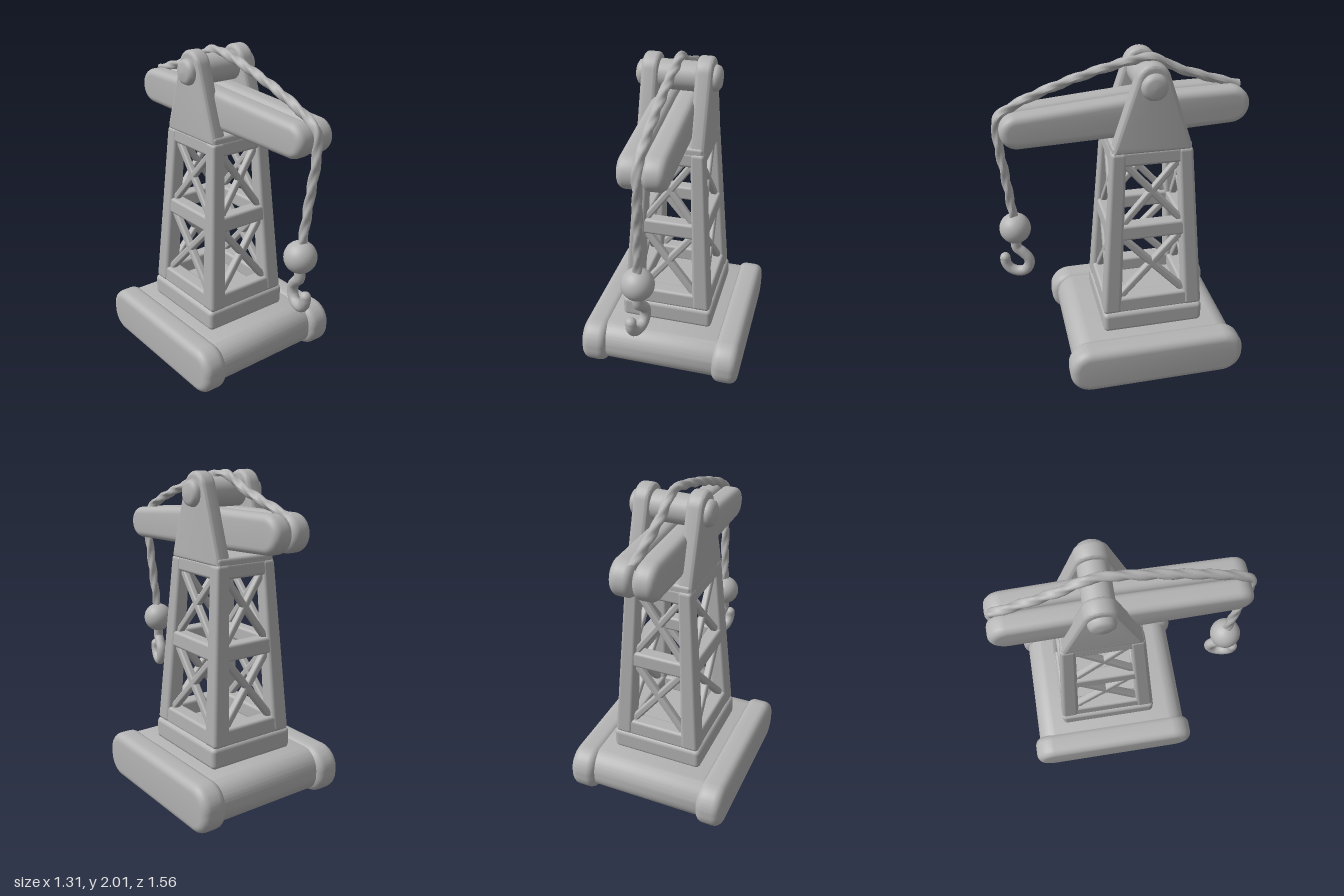
import * as THREE from 'three';
import { toCreasedNormals } from 'three/addons/utils/BufferGeometryUtils.js';
import { RoundedBoxGeometry } from 'three/addons/geometries/RoundedBoxGeometry.js';

const grey = new THREE.MeshStandardMaterial({ color: 0xb4b4b4 });
grey.name = 'plain grey';

function add(parent, name, geometry, x = 0, y = 0, z = 0) {
  const mesh = new THREE.Mesh(geometry, grey);
  mesh.name = name;
  mesh.position.set(x, y, z);
  parent.add(mesh);
  return mesh;
}

// Side profile (shape x becomes +z) swept across x, with rounded rims.
function slab(shape, width, bevel) {
  const g = new THREE.ExtrudeGeometry(shape, {
    depth: width - 2 * bevel, bevelThickness: bevel, bevelSize: bevel, bevelOffset: -bevel,
    bevelSegments: 5, curveSegments: 12,
  });
  g.translate(0, 0, bevel - width / 2);
  g.rotateY(-Math.PI / 2);
  return toCreasedNormals(g, 0.7);
}

// Rounded bar profile standing on y = 0
function barShape(half, height, r) {
  const s = new THREE.Shape();
  s.absarc(half - r, r, r, -Math.PI / 2, 0);
  s.absarc(half - r, height - r, r, 0, Math.PI / 2);
  s.absarc(-half + r, height - r, r, Math.PI / 2, Math.PI);
  s.absarc(-half + r, r, r, Math.PI, Math.PI * 1.5);
  s.closePath();
  return s;
}

// Lattice tower narrows linearly from y = 0.42 to y = 1.48
function taper(g) {
  const p = g.attributes.position;
  for (let i = 0; i < p.count; i++) {
    const t = (p.getY(i) - 0.42) / 1.06;
    p.setX(i, p.getX(i) * (1 - 0.27 * t));
    p.setZ(i, p.getZ(i) * (1 - 0.238 * t));
  }
  return g;
}

function buildBase(crane) {
  const base = new THREE.Group();
  base.name = 'base';
  base.position.z = 0.013;
  crane.add(base);
  add(base, 'chassis', slab(barShape(0.525, 0.275, 0.125), 0.76, 0.02), 0, 0.015, 0);
  for (const side of [-1, 1]) {
    add(base, 'track', slab(barShape(0.56, 0.3, 0.135), 0.165, 0.05), side * 0.435, 0, 0);
  }
}

function buildTower(crane) {
  const tower = new THREE.Group();
  tower.name = 'tower';
  crane.add(tower);
  add(tower, 'towerFoot', new RoundedBoxGeometry(0.595, 0.14, 0.645, 4, 0.03), 0, 0.35, 0);
  const A = 0.285, B = 0.32, W = 0.115;

  // Corner posts
  for (const sx of [-1, 1]) for (const sz of [-1, 1]) {
    const g = new RoundedBoxGeometry(W, 1.08, W, 4, 0.025);
    g.translate(sx * (A - W / 2), 0.95, sz * (B - W / 2));
    add(tower, 'post', taper(g));
  }
  // Four faces: horizontal bands and crossed braces
  for (let face = 0; face < 4; face++) {
    const odd = face % 2 === 1;
    const half = odd ? B : A, out = odd ? A : B;
    const place = (name, g) => {
      g.translate(0, 0, out);
      g.rotateY(face * Math.PI / 2);
      add(tower, name, taper(g));
    };
    for (const [lo, hi] of [[0.41, 0.515], [0.92, 1.02], [1.4, 1.49]]) {
      const g = new RoundedBoxGeometry(2 * half - 0.05, hi - lo, 0.1, 3, 0.018);
      g.translate(0, (lo + hi) / 2, -0.056);
      place('band', g);
    }
    for (const [lo, hi] of [[0.5, 0.935], [1.005, 1.415]]) for (const s of [-1, 1]) {
      const w = 2 * (half - W) + 0.03, h = hi - lo;
      const g = new RoundedBoxGeometry(Math.hypot(w, h), 0.048, 0.05, 3, 0.015);
      g.rotateZ(s * Math.atan2(h, w));
      g.translate(0, (lo + hi) / 2, -0.055);
      place('brace', g);
    }
  }
  add(tower, 'towerCap', new RoundedBoxGeometry(0.405, 0.06, 0.475, 3, 0.02), 0, 1.495, 0);
}

function buildHead(crane) {
  const head = new THREE.Group();
  head.name = 'head';
  crane.add(head);
  // Cheek plates with rounded tops
  const s = new THREE.Shape();
  s.moveTo(-0.238, 1.475);
  s.lineTo(0.238, 1.475);
  s.lineTo(0.228, 1.53);
  s.absarc(0, 1.9, 0.1, 0.22, Math.PI - 0.22);
  s.lineTo(-0.228, 1.53);
  s.closePath();
  for (const side of [-1, 1]) {
    add(head, 'cheek', slab(s, 0.1, 0.025), side * 0.16, 0, 0);
  }
  // Axle with rounded ends
  const r = 0.078, profile = [[0, -0.255], [0.05, -0.252], [0.07, -0.24], [r, -0.22], [r, -0.13], [0.088, -0.12],
    [0.088, 0.12], [r, 0.13], [r, 0.22], [0.07, 0.24], [0.05, 0.252], [0, 0.255]];
  const axle = new THREE.LatheGeometry(profile.map(([a, b]) => new THREE.Vector2(a, b)), 28);
  axle.rotateZ(Math.PI / 2);
  add(head, 'axle', axle, 0, 1.875, 0);
}

function buildJib(crane) {
  const jib = new THREE.Group();
  jib.name = 'jib';
  jib.position.x = -0.01;
  jib.rotation.y = 0.024;
  crane.add(jib);
  // Tapered beam profile: smaller round nose, larger round tail
  const s = new THREE.Shape();
  s.absarc(0.765, 1.63, 0.1, -Math.PI / 2, Math.PI / 2);
  s.lineTo(0.05, 1.787);
  s.absarc(-0.505, 1.68, 0.111, Math.PI / 2, Math.PI * 1.5);
  s.lineTo(0.05, 1.548);
  s.closePath();
  for (const side of [-1, 1]) add(jib, 'jibBeam', slab(s, 0.132, 0.042), side * 0.066, 0, 0);
}

function buildRopeAndHook(crane) {
  // Twisted three-strand rope
  const path = new THREE.CatmullRomCurve3([
    [-0.022, 1.77, -0.58], [-0.02, 1.81, -0.45], [-0.012, 1.9, -0.19], [-0.005, 1.972, -0.05], [0, 1.972, 0.05],
    [0, 1.93, 0.25], [0, 1.84, 0.55], [0, 1.74, 0.79], [0, 1.68, 0.865], [0, 1.56, 0.872],
    [-0.01, 1.3, 0.845], [-0.028, 0.98, 0.815],
  ].map((p) => new THREE.Vector3(...p)));
  const n = 220, m = 15, rope = new THREE.TubeGeometry(path, n, 0.026, m);
  const p = rope.attributes.position, v = new THREE.Vector3();
  for (let i = 0; i <= n; i++) {
    const c = path.getPointAt(i / n);
    for (let j = 0; j <= m; j++) {
      const k = i * (m + 1) + j;
      v.fromBufferAttribute(p, k).sub(c);
      v.multiplyScalar(1 + 0.16 * Math.cos(3 * (j / m) * Math.PI * 2 + i * 0.42)).add(c);
      p.setXYZ(k, v.x, v.y, v.z);
    }
  }
  rope.computeVertexNormals();
  add(crane, 'rope', rope);

  // Ball weight and J-shaped hook, turned to face sideways
  const hook = new THREE.Group();
  hook.name = 'hookBlock';
  hook.position.set(-0.029, 0, 0.814);
  hook.rotation.y = -0.27;
  crane.add(hook);
  add(hook, 'ballWeight', new THREE.SphereGeometry(0.097, 32, 20), 0, 0.94, 0);
  const pts = [[0, 0.87], [0, 0.8], [-0.035, 0.765], [-0.07, 0.72], [-0.07, 0.67], [-0.038, 0.63], [0.01, 0.623],
    [0.055, 0.645], [0.078, 0.685], [0.08, 0.72]].map(([z, y]) => new THREE.Vector3(0, y, z));
  add(hook, 'hook', new THREE.TubeGeometry(new THREE.CatmullRomCurve3(pts), 60, 0.033, 14));
  add(hook, 'hookTip', new THREE.SphereGeometry(0.033, 14, 10), 0, 0.72, 0.08);
}

export function createModel() {
  const model = new THREE.Group();
  model.name = 'toyCrane';
  const crane = new THREE.Group();
  crane.name = 'crane';
  crane.position.set(-0.005, 0, -0.123);
  crane.rotation.y = 0.317;
  model.add(crane);
  buildBase(crane);
  buildTower(crane);
  buildHead(crane);
  buildJib(crane);
  buildRopeAndHook(crane);
  return model;
}
